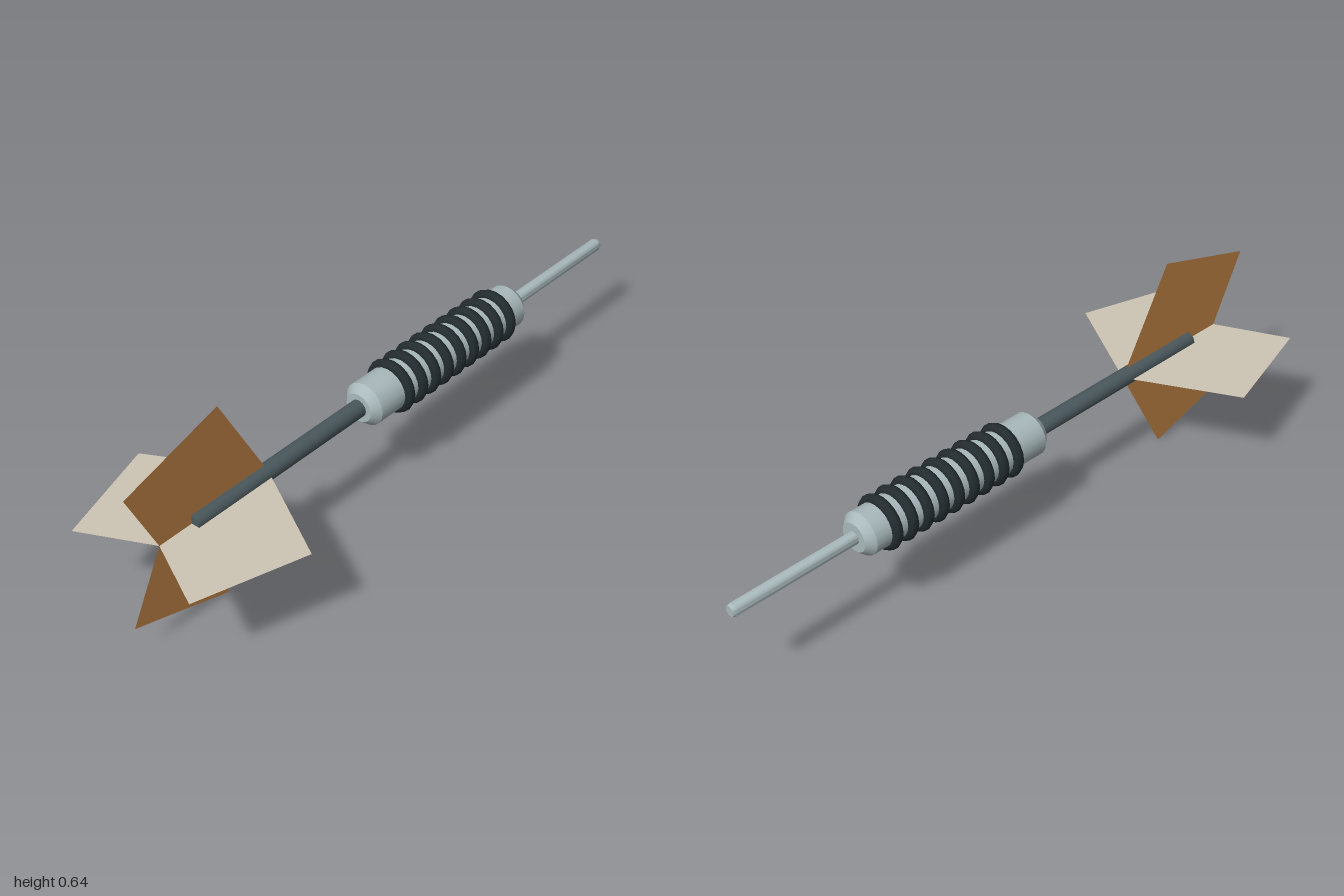
import * as THREE from 'three';
import { toCreasedNormals } from 'three/addons/utils/BufferGeometryUtils.js';

const AXIS_Y = 0.32;

const steel = new THREE.MeshStandardMaterial({ color: 0xa9b9bc });
const darkShaft = new THREE.MeshStandardMaterial({ color: 0x4a585d });
const rubber = new THREE.MeshStandardMaterial({ color: 0x232c2f });
const orange = new THREE.MeshStandardMaterial({ color: 0xc08345, side: THREE.DoubleSide });
const cream = new THREE.MeshStandardMaterial({ color: 0xcdc5b3, side: THREE.DoubleSide });

// Turned part along z, from [radius, z] pairs in order of rising z
function turned(name, profile, sides, material) {
  const points = profile.map(([r, z]) => new THREE.Vector2(r, z));
  const lathe = new THREE.LatheGeometry(points, sides).rotateX(Math.PI / 2);
  const mesh = new THREE.Mesh(toCreasedNormals(lathe, 0.6), material);
  mesh.name = name;
  return mesh;
}

export function createModel() {
  const dart = new THREE.Group();
  dart.name = 'dart';
  dart.position.y = AXIS_Y;

  // Needle, barrel and shaft
  dart.add(
    turned('needlePoint', [[0, -1], [0.016, -1], [0.02, -0.99], [0.02, -0.56], [0, -0.56]], 12, steel),
    turned('barrel', [
      [0, -0.575], [0.045, -0.575], [0.067, -0.55],
      [0.067, 0.092], [0.045, 0.117], [0, 0.117],
    ], 20, steel),
    turned('shaft', [[0, 0.1], [0.027, 0.1], [0.027, 0.775], [0, 0.775]], 12, darkShaft),
  );

  // Grip rings around the barrel
  const ringGeometry = new THREE.TorusGeometry(0.068, 0.017, 8, 20);
  for (let i = 0; i < 9; i++) {
    const ring = new THREE.Mesh(ringGeometry, rubber);
    ring.name = 'gripRing' + (i + 1);
    ring.position.z = -0.48 + i * 0.0573;
    dart.add(ring);
  }

  // Two crossed thin flights
  const outline = [[0, 0.485], [0.318, 0.66], [0.215, 1], [0, 0.893], [-0.215, 1], [-0.318, 0.66]];
  const shape = new THREE.Shape(outline.map(([x, z]) => new THREE.Vector2(x, -z)));
  const flightGeometry = new THREE.ShapeGeometry(shape).rotateX(-Math.PI / 2);
  const flat = new THREE.Mesh(flightGeometry, cream);
  flat.name = 'horizontalFlight';
  const upright = new THREE.Mesh(flightGeometry, orange);
  upright.name = 'verticalFlight';
  upright.rotation.z = Math.PI / 2;
  dart.add(flat, upright);

  const model = new THREE.Group();
  model.add(dart);
  return model;
}
